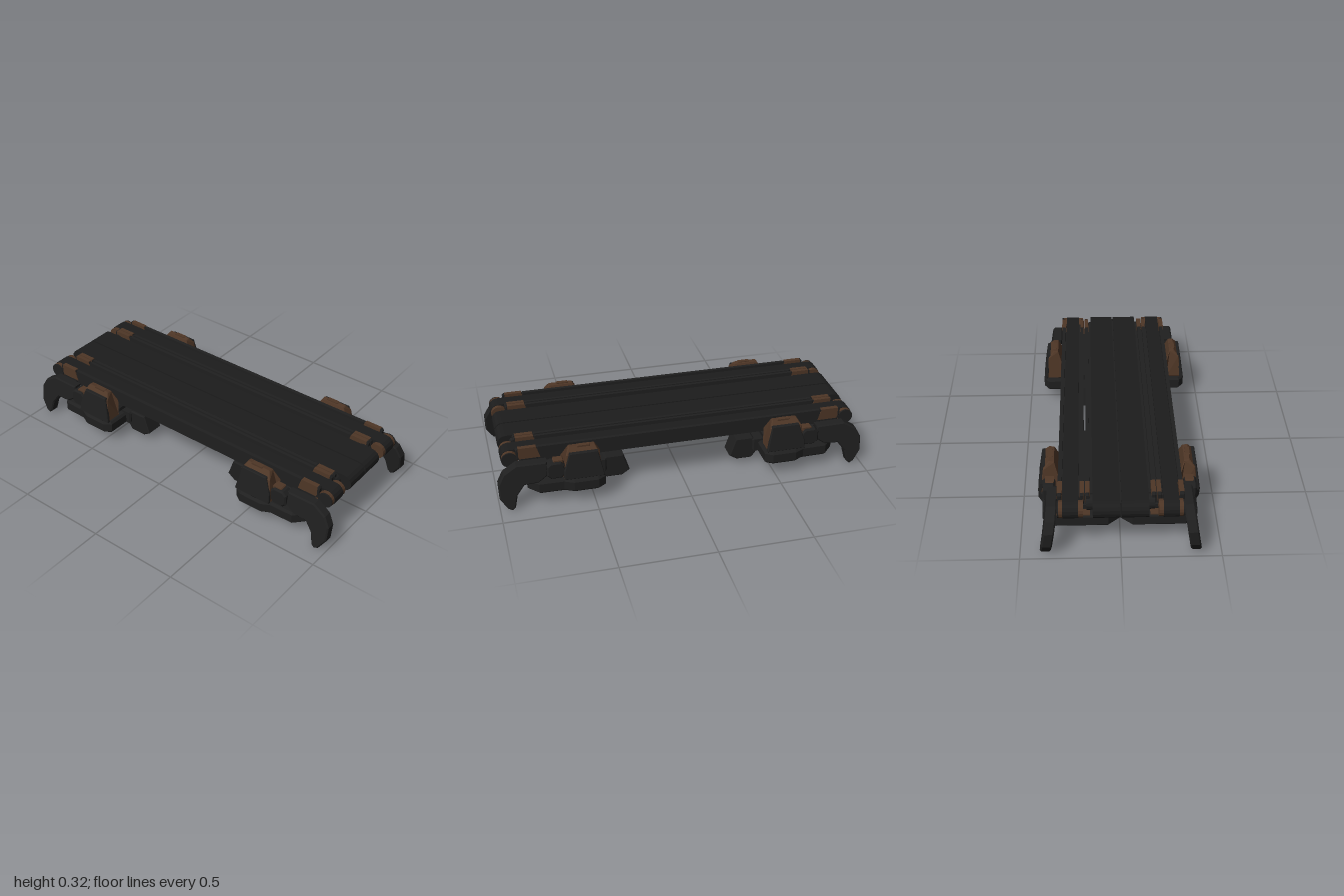
import * as THREE from 'three';

const mat = (name, color) => {
  const m = new THREE.MeshStandardMaterial({ color });
  m.name = name;
  return m;
};

// Map (u, v, depth) of an extrusion onto model axes
const SIDE = new THREE.Matrix4().set(0, 0, 1, 0, 0, 1, 0, 0, 1, 0, 0, 0, 0, 0, 0, 1); // u=z v=y depth=x
const PLAN = new THREE.Matrix4().set(1, 0, 0, 0, 0, 0, 1, 0, 0, 1, 0, 0, 0, 0, 0, 1); // u=x v=z depth=y
const FRONT = new THREE.Matrix4(); // u=x v=y depth=z

// Transform a triangle soup, keeping faces outward when the matrix mirrors
function transformed(geo, matrix) {
  const g = geo.index ? geo.toNonIndexed() : geo.clone();
  g.applyMatrix4(matrix);
  if (matrix.determinant() < 0) {
    const p = g.attributes.position;
    const a = new THREE.Vector3(), b = new THREE.Vector3();
    for (let i = 0; i < p.count; i += 3) {
      a.fromBufferAttribute(p, i + 1);
      b.fromBufferAttribute(p, i + 2);
      p.setXYZ(i + 1, b.x, b.y, b.z);
      p.setXYZ(i + 2, a.x, a.y, a.z);
    }
  }
  g.computeVertexNormals();
  return g;
}

const path = (pts, Type = THREE.Shape) => new Type(pts.map(([x, y]) => new THREE.Vector2(x, y)));

// Chamfered prism from an outline, between two depths
function prism(pts, axes, from, to, bevel = 0, hole = null) {
  const shape = path(pts);
  if (hole) shape.holes.push(path(hole, THREE.Path));
  const geo = new THREE.ExtrudeGeometry(shape, {
    depth: to - from - 2 * bevel, bevelEnabled: bevel > 0, bevelThickness: bevel,
    bevelSize: bevel, bevelOffset: -bevel, bevelSegments: 1,
  });
  geo.translate(0, 0, from + bevel);
  return transformed(geo, axes);
}

const rect = (a0, a1, b0, b1, c = 0) => c
  ? [[a0 + c, b0], [a1 - c, b0], [a1, b0 + c], [a1, b1 - c], [a1 - c, b1], [a0 + c, b1], [a0, b1 - c], [a0, b0 + c]]
  : [[a0, b0], [a1, b0], [a1, b1], [a0, b1]];

const box = (x0, x1, y0, y1, z0, z1, bevel = 0) => prism(rect(x0, x1, y0, y1), FRONT, z0, z1, bevel);

// Move vertices by a rule
function reshape(geo, rule) {
  const p = geo.attributes.position;
  for (let i = 0; i < p.count; i++) p.setXYZ(i, ...rule(p.getX(i), p.getY(i), p.getZ(i)));
  geo.computeVertexNormals();
  return geo;
}

// Sideways slant with height
const lean = (geo, slope) => reshape(geo, (x, y, z) => [x + slope * y, y, z]);

// Four-sided tapered block
function frustum(x0, x1, z0, z1, y0, y1, inset) {
  const cx = (x0 + x1) / 2, cz = (z0 + z1) / 2;
  return reshape(box(x0, x1, y0, y1, z0, z1), (x, y, z) => {
    const k = inset * (y - y0) / (y1 - y0);
    return [x - Math.sign(x - cx) * k, y, z - Math.sign(z - cz) * k];
  });
}

const roller = (x0, x1, r, z) => {
  const g = new THREE.CylinderGeometry(r, r, x1 - x0, 16);
  g.rotateZ(Math.PI / 2);
  g.translate((x0 + x1) / 2, 0.251, z);
  return transformed(g, FRONT);
};

export function createModel() {
  const model = new THREE.Group();
  model.name = 'conveyor';
  const metal = mat('dark metal', 0x1f1f1f);
  const rubber = mat('belt rubber', 0x1c1c1c);
  const rust = mat('rust brown', 0x4e3626);

  const add = (name, geo, material, parent = model) => {
    const mesh = new THREE.Mesh(geo, material);
    mesh.name = name;
    parent.add(mesh);
  };
  const mirror = (name, geo, material, parent, xs, zs) => {
    for (const sx of xs) for (const sz of zs) {
      add(name, transformed(geo, new THREE.Matrix4().makeScale(sx, 1, sz)), material, parent);
    }
  };
  const both = [1, -1];

  // Belts: rounded noses at both ends, raised underside between them
  const nose = [];
  for (let i = 0; i <= 10; i++) {
    const a = Math.PI / 2 - i * Math.PI * 1.3 / 10;
    nose.push([0.925 + 0.046 * Math.cos(a), 0.251 + 0.046 * Math.sin(a)]);
  }
  nose.push([0.87, 0.23]);
  const loop = [...nose, ...nose.map(([z, y]) => [-z, y]).reverse()];
  const belts = new THREE.Group();
  belts.name = 'belts';
  model.add(belts);
  mirror('centreBelt', prism(loop, SIDE, 0.004, 0.137), rubber, belts, both, [1]);
  mirror('sideBelt', prism(loop, SIDE, 0.207, 0.284), rubber, belts, both, [1]);
  add('centreSeam', box(-0.004, 0.004, 0.235, 0.287, -0.93, 0.93), metal, belts);

  // Roller ends and hubs
  const rollers = new THREE.Group();
  rollers.name = 'rollers';
  model.add(rollers);
  for (const [x0, x1] of [[0.184, 0.207], [0.284, 0.303]]) {
    mirror('rollerEnd', roller(x0, x1, 0.043, 0.925), rust, rollers, both, both);
  }
  mirror('hub', roller(0.303, 0.311, 0.041, 0.928), metal, rollers, both, both);
  mirror('innerHub', roller(0.137, 0.168, 0.041, 0.87), metal, rollers, both, both);

  // Rails with brown cover pieces and dark end plates
  const rails = new THREE.Group();
  rails.name = 'rails';
  model.add(rails);
  const railEnd = [[0.78, 0.228], [0.86, 0.228], [0.89, 0.25], [0.893, 0.303], [0.885, 0.313], [0.78, 0.309]];
  const cap = [[0.765, 0.25], [0.875, 0.25], [0.88, 0.265], [0.88, 0.313], [0.785, 0.313]];
  for (const [x0, x1] of [[0.288, 0.308], [0.18, 0.196], [0.152, 0.17]]) {
    mirror('rail', box(x0, x1, 0.226, 0.31, -0.78, 0.78, 0.004), metal, rails, both, [1]);
    mirror('railEnd', prism(railEnd, SIDE, x0, x1 + 0.002, 0.003), metal, rails, both, both);
    mirror('railCap', prism(cap, SIDE, x0 - 0.002, x1 + 0.003), rust, rails, both, both);
  }
  mirror('sideBed', box(0.183, 0.305, 0.237, 0.282, -0.87, 0.87), metal, rails, both, [1]);
  mirror('centreBed', box(0.13, 0.168, 0.237, 0.282, -0.87, 0.87), metal, rails, both, [1]);
  add('railFiller', box(-0.185, -0.165, 0.237, 0.285, -0.87, 0.87), metal, rails);
  mirror('railSpacer', box(0.165, 0.185, 0.237, 0.27, 0.285, 0.84), metal, rails, [1], both);

  // Four foot assemblies, mirrored to each corner
  const padOutline = [[0.06, 0.845], [0.33, 0.845], [0.39, 0.79], [0.392, 0.66], [0.417, 0.61],
    [0.417, 0.48], [0.39, 0.44], [0.08, 0.44], [0.001, 0.51], [0.001, 0.79]];
  const toe = [[0.45, 0.085], [0.41, 0.031], [0.325, 0.031], [0.282, 0.06], [0.316, 0.16], [0.41, 0.16], [0.45, 0.13]];
  const claw = [[0.74, 0.17], [0.79, 0.135], [0.865, 0.132], [0.905, 0.08], [0.92, 0.015], [0.937, 0],
    [0.96, 0.012], [0.998, 0.07], [1, 0.15], [0.97, 0.205], [0.9, 0.247], [0.74, 0.245]];
  const bracket = [[0.312, 0.15], [0.403, 0.15], [0.386, 0.28], [0.356, 0.316], [0.33, 0.312], [0.309, 0.25]];
  const plate = [[0.446, 0.15], [0.66, 0.15], [0.657, 0.2], [0.625, 0.293], [0.475, 0.293]];
  const bracketBody = reshape(prism(bracket, FRONT, 0.452, 0.66, 0.004), (x, y, z) => {
    const k = 1 - 0.35 * Math.max(0, y - 0.25) / 0.066;
    return [x, y, 0.55 + (z - 0.55) * k];
  });

  const feet = new THREE.Group();
  feet.name = 'feet';
  model.add(feet);
  const parts = [
    ['footPad', prism(padOutline, PLAN, 0.07, 0.142, 0.012, rect(0.1, 0.31, 0.53, 0.77, 0.03)), metal],
    ['toeBlock', prism(toe, SIDE, 0.155, 0.256, 0.006), metal],
    ['toeArm', box(0.14, 0.27, 0.08, 0.152, 0.41, 0.5, 0.008), metal],
    ['pedestalBase', prism(rect(0.05, 0.34, 0.47, 0.8, 0.05), PLAN, 0.14, 0.184, 0.012), metal],
    ['pedestalTop', frustum(0.1, 0.305, 0.5, 0.75, 0.182, 0.206, 0.024), metal],
    ['pedestalNeck', box(0.14, 0.27, 0.2, 0.235, 0.55, 0.7), metal],
    ['bracket', bracketBody, rust],
    ['bracketTab', box(0.338, 0.362, 0.305, 0.318, 0.51, 0.58, 0.003), rust],
    ['bracketPlate', lean(prism(plate, SIDE, 0.415, 0.436, 0.004), -0.145), metal],
    ['claw', lean(prism(claw, SIDE, 0.35, 0.404, 0.007), -0.16), metal],
    ['clawJoint', prism(rect(0.65, 0.745, 0.15, 0.245, 0.02), SIDE, 0.325, 0.388, 0.008), metal],
    ['jointCap', box(0.33, 0.375, 0.225, 0.252, 0.655, 0.71, 0.005), rust],
    ['bracketArm', box(0.27, 0.32, 0.16, 0.235, 0.5, 0.64, 0.006), metal],
    ['padTrim', box(0.15, 0.22, 0.134, 0.145, 0.795, 0.838, 0.002), rust],
    ['padTrim', box(0.05, 0.09, 0.134, 0.145, 0.795, 0.838, 0.002), rust],
    ['padTrim', box(0.28, 0.32, 0.134, 0.145, 0.795, 0.838, 0.002), rust],
  ];
  for (const [name, geo, material] of parts) mirror(name, geo, material, feet, both, both);
  mirror('padLink', box(-0.03, 0.03, 0.078, 0.132, 0.58, 0.72, 0.006), metal, feet, [1], both);

  return model;
}
